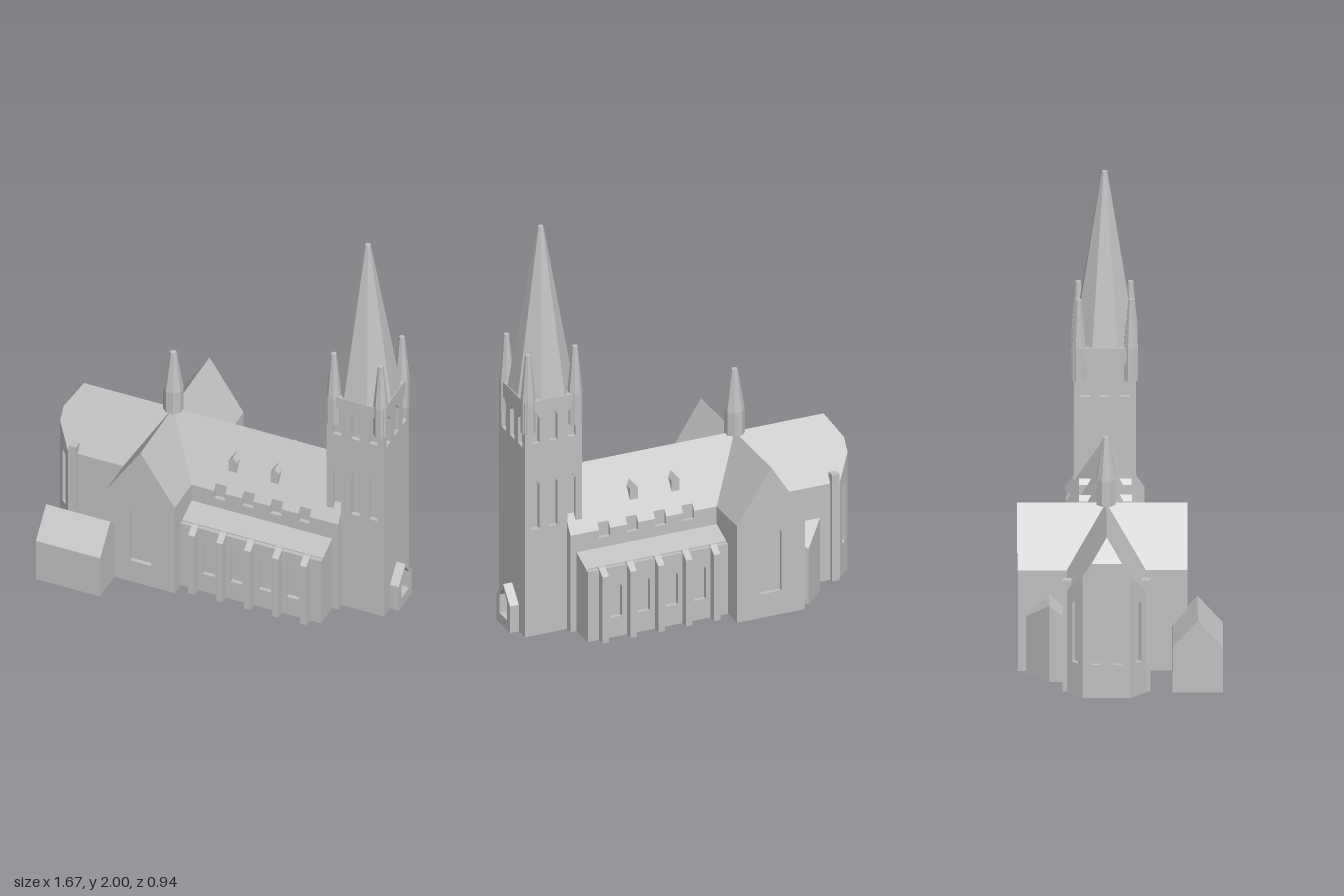
import * as THREE from 'three';
import { ConvexGeometry } from 'three/addons/geometries/ConvexGeometry.js';

const ZC = -0.065; // z of the church axis
const stone = new THREE.MeshStandardMaterial({ color: 0xc0c0c0 });
stone.name = 'stone grey';

export function createModel() {
  const model = new THREE.Group();
  model.name = 'church';

  const add = (name, geo, x = 0, y = 0, z = 0, ry = 0) => {
    const m = new THREE.Mesh(geo, stone);
    m.name = name;
    m.position.set(x, y, z);
    m.rotation.y = ry;
    model.add(m);
    return m;
  };
  const shapeOf = (pts) => new THREE.Shape(pts.map((p) => new THREE.Vector2(p[0], p[1])));
  const box = (name, x0, x1, y0, y1, z0, z1) =>
    add(name, new THREE.BoxGeometry(x1 - x0, y1 - y0, z1 - z0), (x0 + x1) / 2, (y0 + y1) / 2, (z0 + z1) / 2);
  const hull = (name, pts) => add(name, new ConvexGeometry(pts.map((p) => new THREE.Vector3(...p))));

  // cross-section of [distance from axis, y] points swept along x
  const sweep = (name, pts, x0, x1, zc = ZC) => {
    const geo = new THREE.ExtrudeGeometry(shapeOf(pts.map(([d, y]) => [-d, y])), { depth: x1 - x0, bevelEnabled: false });
    geo.rotateY(Math.PI / 2);
    return add(name, geo, x0, 0, zc);
  };
  // pointed opening
  const arch = (x, y0, w, y1, rise = w * 0.7) => [
    [x - w / 2, y0], [x + w / 2, y0], [x + w / 2, y1 - rise], [x, y1], [x - w / 2, y1 - rise],
  ];
  // wall slab with openings; its face points along ry and its thickness goes inward
  const wall = (name, outline, openings, x, z, ry, depth = 0.02) => {
    const s = shapeOf(outline);
    openings.forEach((o) => s.holes.push(new THREE.Path(o.map((p) => new THREE.Vector2(p[0], p[1])))));
    const geo = new THREE.ExtrudeGeometry(s, { depth, bevelEnabled: false });
    geo.translate(0, 0, -depth);
    return add(name, geo, x, 0, z, ry);
  };
  const rect = (w, h) => [[-w / 2, 0], [w / 2, 0], [w / 2, h], [-w / 2, h]];
  const gable = (w, eave, ridge) => [[-w / 2, 0], [w / 2, 0], [w / 2, eave], [0, ridge], [-w / 2, eave]];
  // octagonal turret: straight shaft, then a tapering cap
  const turret = (name, x, z, r, y0, y1, y2, rTop) => {
    const shaft = new THREE.CylinderGeometry(r, r, y1 - y0, 8).toNonIndexed();
    const cap = new THREE.CylinderGeometry(rTop, r, y2 - y1, 8).toNonIndexed();
    [shaft, cap].forEach((g) => { g.rotateY(Math.PI / 8); g.computeVertexNormals(); });
    add(name + 'Shaft', shaft, x, (y0 + y1) / 2, z);
    add(name + 'Cap', cap, x, (y1 + y2) / 2, z);
  };

  // Nave, notched at the eaves by the clerestory windows
  const HW = 0.18, EAVE = 0.49, RIDGE = 0.755;
  const roofY = (d) => RIDGE - (d * (RIDGE - EAVE)) / HW;
  const full = gable(HW * 2, EAVE, RIDGE);
  const notched = [
    [-HW, 0], [HW, 0], [HW, 0.45], [HW - 0.02, 0.45], [HW - 0.02, roofY(HW - 0.02)], [0, RIDGE],
    [-HW + 0.02, roofY(HW - 0.02)], [-HW + 0.02, 0.45], [-HW, 0.45],
  ];
  const bays = [-0.21, -0.07, 0.07, 0.21];
  let start = -0.3;
  bays.forEach((b) => {
    const x = 0.2 + b;
    sweep('nave', full, start, x - 0.0275);
    sweep('clerestoryBay', notched, x - 0.0275, x + 0.0275);
    start = x + 0.0275;
  });
  sweep('nave', full, start, 0.58);

  // Choir and three-sided apse under a hipped roof
  sweep('choir', full, -0.765, -0.3);
  const apseRoof = [[-0.765, RIDGE, ZC], [-0.765, 0.47, ZC]];
  const apseCore = [];
  for (const s of [-1, 1]) {
    apseRoof.push(
      [-0.765, 0.47, ZC + s * HW], [-0.765, EAVE, ZC + s * HW],
      [-0.835, 0.47, ZC + s * 0.11], [-0.835, roofY(0.11), ZC + s * 0.11],
      [-0.835, roofY(0.07), ZC + s * 0.07],
    );
    for (const y of [0, 0.47]) {
      apseCore.push([-0.815, y, ZC + s * 0.1017], [-0.757, y, ZC + s * 0.16], [-0.7, y, ZC + s * 0.16]);
    }
    wall('apseDiagonalWall', rect(0.099, 0.47), [arch(0, 0.16, 0.04, 0.455, 0.01)],
      -0.8, ZC + s * 0.145, s > 0 ? -Math.PI / 4 : -Math.PI * 0.75);
    const z0 = ZC + s * 0.16, z1 = ZC + s * 0.2;
    box('choirButtress', -0.753, -0.717, 0, 0.54, Math.min(z0, z1), Math.max(z0, z1));
  }
  hull('apseRoof', apseRoof);
  hull('apseCore', apseCore);
  wall('apseEndWall', rect(0.22, 0.47), [-0.05, 0.05].map((x) => arch(x, 0.16, 0.04, 0.455, 0.01)),
    -0.835, ZC, -Math.PI / 2);

  // Transept with a tall window in each gable
  const tw = 0.34, cross = gable(tw, EAVE, RIDGE);
  const body = new THREE.ExtrudeGeometry(shapeOf(cross), { depth: 0.735, bevelEnabled: false });
  add('transept', body, -0.32, 0, -0.45);
  wall('transeptGable', cross, [arch(0, 0.12, 0.105, 0.47, 0.052)], -0.32, 0.305, 0);
  wall('transeptGable', cross, [arch(0, 0.12, 0.105, 0.47, 0.052)], -0.32, -0.47, Math.PI);
  turret('crossingSpirelet', -0.32, ZC, 0.047, 0.75, 0.87, 1.075, 0.015);

  // Side aisles, buttresses and roof dormers, mirrored about the axis
  for (const s of [-1, 1]) {
    const side = (pts) => pts.map(([d, y]) => [d * s, y]);
    sweep('aisle', side([[0.1, 0], [0.285, 0], [0.285, 0.362], [0.18, 0.4], [0.1, 0.4]]), -0.2, 0.55);
    wall('aisleWall', rect(0.7, 0.357), bays.map((x) => arch(x, 0.1, 0.06, 0.29, 0.036)),
      0.2, ZC + s * 0.305, s > 0 ? 0 : Math.PI);
    for (let i = -2; i <= 2; i++) {
      const x = 0.2 + i * 0.139;
      sweep('aisleButtress', side([[0.29, 0], [0.345, 0], [0.345, 0.335], [0.3, 0.365], [0.29, 0.365]]), x - 0.016, x + 0.016);
    }
    for (const x of [0.028, 0.236]) {
      const g = new THREE.ExtrudeGeometry(
        shapeOf([[-0.02, 0.575], [0.02, 0.575], [0.02, 0.635], [0, 0.66], [-0.02, 0.635]]),
        { depth: 0.07, bevelEnabled: false });
      g.translate(0, 0, -0.07);
      add('dormer', g, x, 0, ZC + s * 0.12, s > 0 ? 0 : Math.PI);
    }
  }

  // Tower: solid core behind four pierced walls
  const TX = 0.648, TH = 0.1425;
  box('towerCore', TX - 0.1225, TX + 0.1225, 0, 1.19, ZC - 0.1225, ZC + 0.1225);
  for (let i = 0; i < 4; i++) {
    const a = (i * Math.PI) / 2, frontBack = i % 2 === 0;
    const openings = [];
    for (const x of [-0.09, 0, 0.09]) {
      if (frontBack) openings.push(arch(x, 0.975, 0.04, 1.13), arch(x, 0.54, 0.04, 0.79));
      else openings.push(arch(x, 0.955, 0.05, 1.12));
    }
    wall('towerWall', rect(TH * 2, 1.19), openings, TX + Math.sin(a) * TH, ZC + Math.cos(a) * TH, a);
  }
  const spire = new THREE.CylinderGeometry(0.013, 0.151, 0.81, 8).toNonIndexed();
  spire.rotateY(Math.PI / 8);
  spire.computeVertexNormals();
  add('spire', spire, TX, 1.595, ZC);
  for (const sx of [-1, 1]) for (const sz of [-1, 1]) {
    turret('pinnacle', TX + sx * 0.117, ZC + sz * 0.119, 0.035, 1.03, 1.19, 1.42, 0.013);
  }

  // Gabled entrance porch
  wall('entrancePorch', gable(0.15, 0.135, 0.215), [arch(0, 0.05, 0.086, 0.198, 0.055)], 0.835, ZC, Math.PI / 2, 0.046);

  // Detached-looking annex at the front
  sweep('annex', gable(0.23, 0.22, 0.35), -0.77, -0.45, 0.35);

  // Small angled chapel at the back, under a ridge along x
  const chapel = [[-0.63, 0.37, -0.325], [-0.45, 0.37, -0.325]];
  for (const [x, z] of [[-0.63, -0.24], [-0.63, -0.325], [-0.525, -0.43], [-0.45, -0.37], [-0.45, -0.24]]) {
    chapel.push([x, 0, z], [x, 0.37 - Math.abs(z + 0.325) * 0.85, z]);
  }
  hull('chapel', chapel);

  return model;
}
